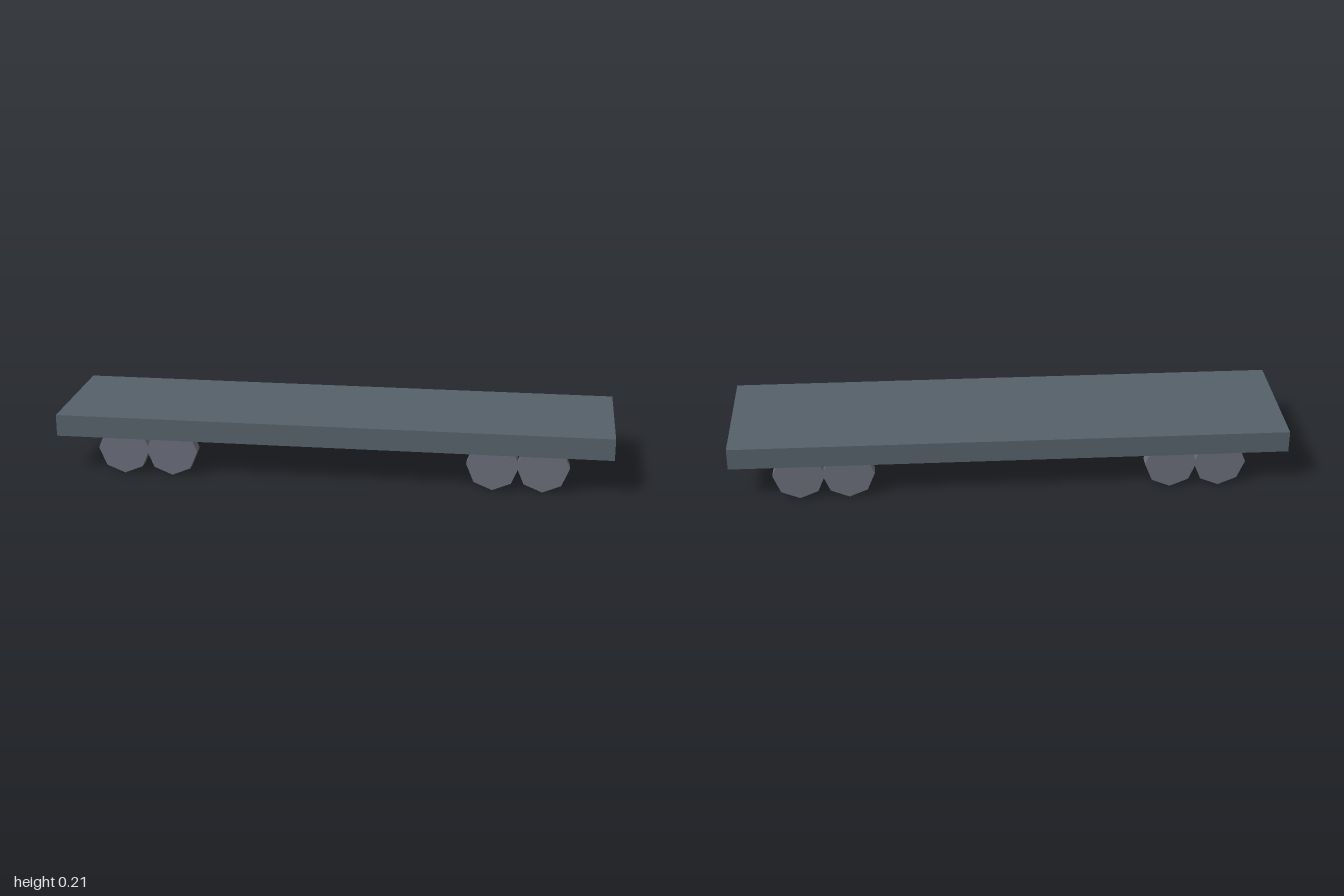
import * as THREE from 'three';

export function createModel() {
  const model = new THREE.Group();
  const deckMaterial = new THREE.MeshStandardMaterial({ color: 0x55606a, flatShading: true });
  const wheelMaterial = new THREE.MeshStandardMaterial({ color: 0x686c78, flatShading: true });

  // Flat slab deck
  const deck = new THREE.Mesh(new THREE.BoxGeometry(2, 0.079, 0.489), deckMaterial);
  deck.name = 'deck';
  deck.position.y = 0.1735;
  model.add(deck);

  // Octagonal wheels, a corner resting on the ground, axle along z
  const radius = 0.0935;
  const wheelGeometry = new THREE.CylinderGeometry(radius, radius, 0.045, 8);
  wheelGeometry.rotateX(Math.PI / 2);

  // Two pairs of wheels on each side, one pair near each end
  for (const end of [-1, 1]) {
    const truck = new THREE.Group();
    truck.name = end > 0 ? 'leftWheels' : 'rightWheels';
    truck.position.set(end * 0.666, radius, 0);
    for (const dx of [-0.088, 0.088]) {
      for (const z of [-0.212, 0.212]) {
        const wheel = new THREE.Mesh(wheelGeometry, wheelMaterial);
        wheel.name = 'wheel';
        wheel.position.set(dx, 0, z);
        truck.add(wheel);
      }
    }
    model.add(truck);
  }
  return model;
}
